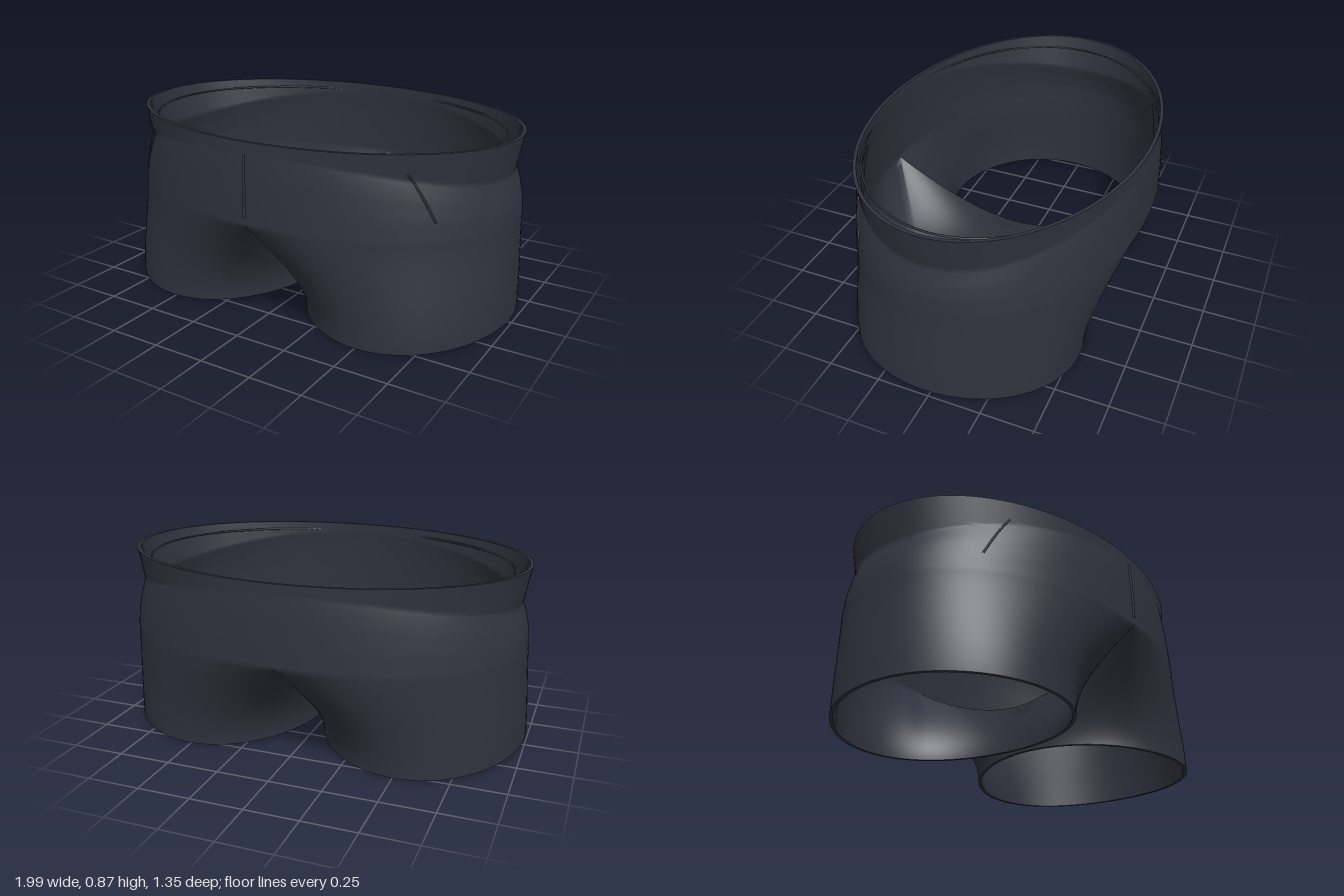
import * as THREE from 'three';
import { mergeGeometries, toCreasedNormals } from 'three/addons/utils/BufferGeometryUtils.js';

const { lerp, smoothstep } = THREE.MathUtils;
const CROTCH_Y = 0.5, TOP_Y = 0.875, CENTRE_Z = -0.004, THICKNESS = 0.016;
const CORNER = THREE.MathUtils.degToRad(125);

// Torso profile: height, half width, half depth, roundness exponent
const PROFILE = [
  [0.5, 0.98, 0.672, 2.12], [0.57, 0.975, 0.671, 2.08], [0.63, 0.962, 0.668, 2.04],
  [0.67, 0.949, 0.664, 2.02], [0.7, 0.941, 0.661, 2], [0.875, 0.975, 0.66, 2],
];

function profileAt(y) {
  let i = 0;
  while (i < PROFILE.length - 2 && y > PROFILE[i + 1][0]) i++;
  const a = PROFILE[i], b = PROFILE[i + 1], t = (y - a[0]) / (b[0] - a[0]);
  return [1, 2, 3].map((k) => lerp(a[k], b[k], t));
}

// Point on the torso; a runs from front centre (0) round the side to back centre (PI)
function torsoPoint(a, y, inset = 0) {
  const [rx, rz, n] = profileAt(y);
  const s = Math.abs(Math.sin(a)) ** (2 / n);
  const c = Math.sign(Math.cos(a)) * Math.abs(Math.cos(a)) ** (2 / n);
  // The waist seam climbs toward the front and back
  const lift = y > 0.7 ? (TOP_Y - y) / (TOP_Y - 0.7) : smoothstep(y, CROTCH_Y, 0.7);
  return new THREE.Vector3((rx - inset) * s, y + 0.13 * lift * c * c, CENTRE_Z + (rz - inset) * c);
}

// Point on a leg; s runs from the crotch line (0) down to the hem (1)
function legPoint(top, phi, inner, s, inset) {
  const sin = Math.sin(phi);
  const hx = 0.505 + (0.492 - inset) * Math.cos(phi);
  const hz = 0.022 + (0.556 - inset) * sin;
  const hy = 0.004 + 0.026 * (1 - sin * sin);
  // Outer walls ease in and out, inner walls flare at once and then straighten
  const e = lerp(smoothstep(s ** 0.92, 0, 1), s * (1.5 - 0.5 * s * s), inner);
  return new THREE.Vector3(lerp(top.x, hx, e), lerp(top.y, hy, s), lerp(top.z, hz, e));
}

// Surface through rows of points, on either side of the body
function loft(rows, side) {
  const w = rows[0].length, index = [];
  const pos = rows.flatMap((r) => r.flatMap((p) => [p.x * side, p.y, p.z]));
  for (let j = 0; j < rows.length - 1; j++) {
    for (let i = 0; i < w - 1; i++) {
      const a = j * w + i, b = a + 1, c = a + w, d = c + 1;
      if (side > 0) index.push(a, c, b, b, c, d);
      else index.push(a, b, c, b, d, c);
    }
  }
  const g = new THREE.BufferGeometry();
  g.setAttribute('position', new THREE.Float32BufferAttribute(pos, 3));
  g.setIndex(index);
  return g;
}

// Rows from the waist edge down to the crotch line
function torsoRows(inset) {
  const N = 64, R = 30;
  return Array.from({ length: R + 1 }, (_, j) =>
    Array.from({ length: N + 1 }, (_, i) => torsoPoint((Math.PI * i) / N, lerp(TOP_Y, CROTCH_Y, j / R), inset)));
}

// Rows from the crotch line down to the hem
function legRows(inset) {
  const N = 64, M = 40, R = 32, loop = [];
  // Outer half of the loop continues the torso
  for (let i = 0; i <= N; i++) {
    const a = (Math.PI * i) / N;
    loop.push([torsoPoint(a, CROTCH_Y, inset), lerp(CORNER, -CORNER, i / N), Math.cos(a) ** 20]);
  }
  // Inner half follows the arched crotch seam from back to front
  const rz = profileAt(CROTCH_Y)[1] - inset;
  for (let k = 1; k <= M; k++) {
    const c = -Math.cos((Math.PI * k) / M), arch = Math.abs(c) ** 1.7;
    const p = new THREE.Vector3(0, lerp(0.25 + inset, CROTCH_Y, arch), CENTRE_Z + rz * c);
    loop.push([p, lerp(-CORNER, CORNER - 2 * Math.PI, k / M), 1]);
  }
  return Array.from({ length: R + 1 }, (_, j) =>
    loop.map(([p, phi, inner]) => legPoint(p, phi, inner, j / R, inset)));
}

export function createModel() {
  const group = new THREE.Group();
  const cloth = new THREE.MeshStandardMaterial({ color: 0x30333e, side: THREE.DoubleSide });
  const add = (name, geometry) => {
    const mesh = new THREE.Mesh(geometry, cloth);
    mesh.name = name;
    group.add(mesh);
  };
  const tube = (points, r, closed = false) =>
    new THREE.TubeGeometry(new THREE.CatmullRomCurve3(points, closed), closed ? 128 : 24, r, 6, closed);

  // Shorts body: outside and lining, joined at the waist edge and hems
  const torso = [...torsoRows(THICKNESS).reverse(), ...torsoRows(0)];
  const leg = [...legRows(0), ...legRows(THICKNESS).reverse()];
  const parts = [1, -1].flatMap((side) => [loft(torso, side), loft(leg, side)]);
  add('shortsBody', toCreasedNormals(mergeGeometries(parts), 0.9));

  // Slanted pocket seams
  for (const side of [1, -1]) {
    const pts = Array.from({ length: 9 }, (_, i) => {
      const p = torsoPoint(lerp(0.786, 0.918, i / 8), lerp(0.74, 0.57, i / 8));
      p.x *= side;
      return p;
    });
    add(side > 0 ? 'leftPocketSeam' : 'rightPocketSeam', tube(pts, 0.005));
  }

  // Fly seam
  const fly = Array.from({ length: 9 }, (_, i) => torsoPoint(0, lerp(0.69, 0.53, i / 8)));
  add('flySeam', tube(fly, 0.007));

  // Thin elastic cord, free at the sides and sewn in at the front and back
  const cord = Array.from({ length: 48 }, (_, i) => {
    const a = (i / 48) * Math.PI * 2;
    return new THREE.Vector3(0.893 * Math.cos(a), 0.835, CENTRE_Z + 0.652 * Math.sin(a));
  });
  add('waistCord', tube(cord, 0.005, true));
  return group;
}
